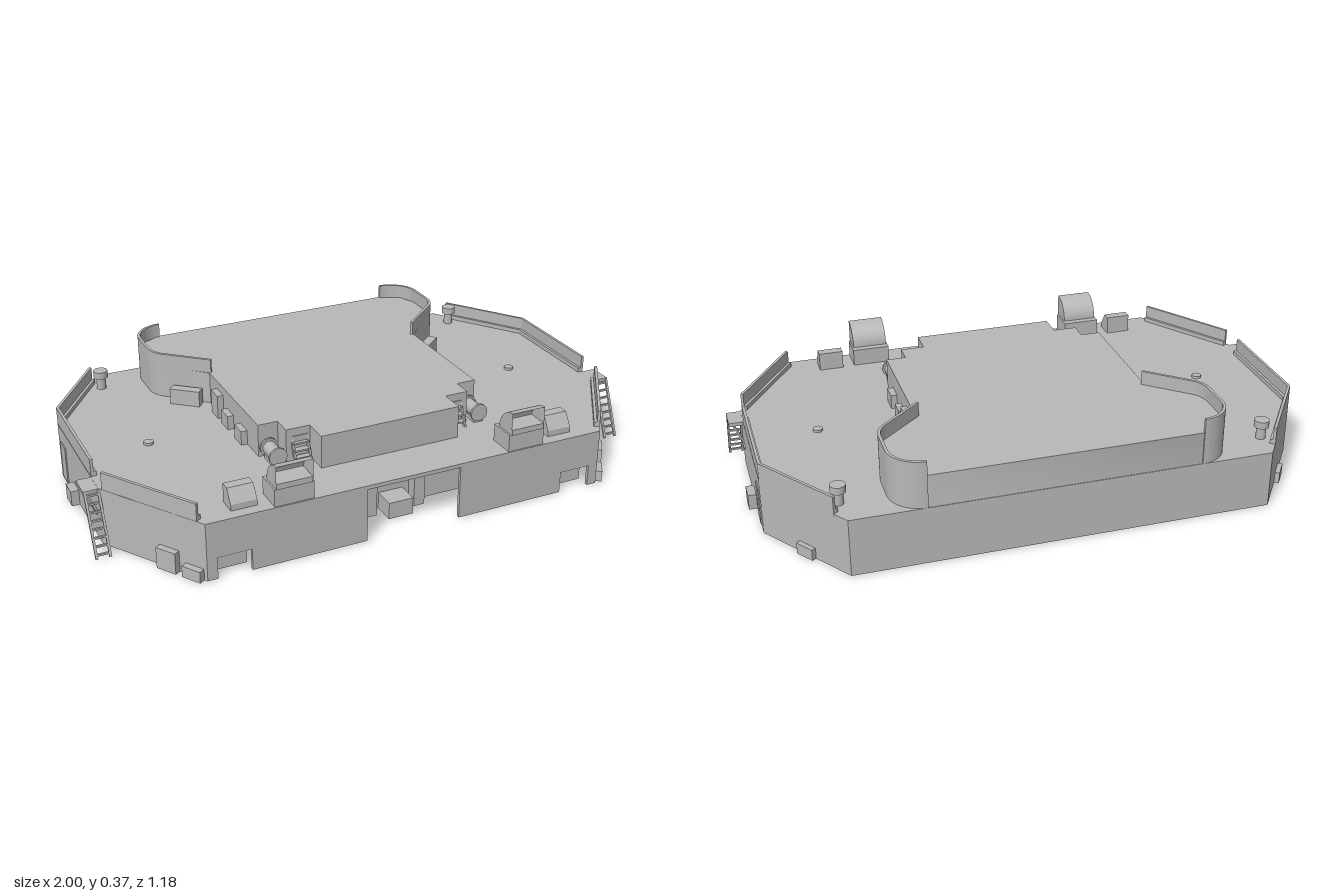
import * as THREE from 'three';
import { toCreasedNormals } from 'three/addons/utils/BufferGeometryUtils.js';

export function createModel() {
  const model = new THREE.Group();
  const grey = new THREE.MeshStandardMaterial({ color: 0xb8b8b8, side: THREE.DoubleSide });
  grey.name = 'plain grey';

  const add = (name, geo, x = 0, y = 0, z = 0) => {
    const m = new THREE.Mesh(geo, grey);
    m.name = name;
    m.position.set(x, y, z);
    model.add(m);
    return m;
  };
  // box given by its limits
  const box = (name, x0, x1, y0, y1, z0, z1) =>
    add(name, new THREE.BoxGeometry(Math.abs(x1 - x0), y1 - y0, z1 - z0), (x0 + x1) / 2, (y0 + y1) / 2, (z0 + z1) / 2);
  // plan outline of [x, z] points raised from y0 to y1
  const slab = (name, pts, y0, y1) => {
    const shape = new THREE.Shape(pts.map(([x, z]) => new THREE.Vector2(x, -z)));
    const geo = new THREE.ExtrudeGeometry(shape, { depth: y1 - y0, bevelEnabled: false });
    geo.rotateX(-Math.PI / 2);
    return add(name, toCreasedNormals(geo, 0.5), 0, y0, 0);
  };
  // upright wall along a plan path, thickened to one side
  const wall = (name, pts, t, y0, y1) => {
    const dir = (a, b) => new THREE.Vector2(b[0] - a[0], b[1] - a[1]).normalize();
    const inner = pts.map((p, i) => {
      const d0 = i ? dir(pts[i - 1], p) : dir(p, pts[1]);
      const d1 = i < pts.length - 1 ? dir(p, pts[i + 1]) : d0;
      const d = d0.clone().add(d1).normalize();
      const k = t / Math.max(0.5, d.dot(d0));
      return [p[0] - d.y * k, p[1] + d.x * k];
    });
    return slab(name, [...pts, ...inner.reverse()], y0, y1);
  };
  // square bar between two points
  const bar = (name, a, b, w, h = w) => {
    const A = new THREE.Vector3(...a), B = new THREE.Vector3(...b);
    const m = add(name, new THREE.BoxGeometry(w, h, A.distanceTo(B)));
    m.position.copy(A).add(B).multiplyScalar(0.5);
    m.lookAt(B);
  };
  const mirrored = (pts, s) => pts.map(([x, z]) => [s * x, z]);
  const bothHalves = (half) => [...half, ...mirrored(half, -1).reverse()];

  // deck and central raised platform
  const hullHalf = [[0.72, 0.59], [0.95, 0.24], [0.95, -0.26], [0.72, -0.59]];
  slab('deck', bothHalves(hullHalf), 0.19, 0.204);
  slab('raisedPlatform', bothHalves([[0.255, 0.42], [0.255, 0.33], [0.34, 0.33], [0.34, 0.26], [0.41, 0.26],
    [0.41, -0.19], [0.53, -0.305], [0.565, -0.35], [0.567, -0.48], [0.538, -0.55], [0.46, -0.588]]), 0.2, 0.32);

  // rear hull wall and beams beneath the deck
  box('rearWall', -0.72, 0.72, 0, 0.2, -0.59, -0.578);
  box('crossBeam', -0.93, 0.93, 0, 0.19, -0.25, -0.21);
  box('crossBeam', -0.93, 0.93, 0.03, 0.19, -0.21, -0.15);
  box('crossBeam', -0.93, 0.93, 0, 0.19, -0.15, -0.1);
  box('underBlock', -0.15, 0.3, 0.08, 0.19, 0.14, 0.26);

  // front bay
  box('bayBackWall', -0.49, 0.49, 0, 0.19, 0.4, 0.42);
  box('bayCabinet', -0.045, 0.045, 0, 0.06, 0.42, 0.5);
  box('bayHanger', 0, 0.04, 0.13, 0.19, 0.42, 0.46);

  for (const s of [1, -1]) {
    // hull sides, with a notch in the front wall
    wall('sideWall', mirrored(hullHalf, s), -s * 0.012, 0, 0.2);
    box('frontWall', s * 0.17, s * 0.57, 0, 0.2, 0.578, 0.59);
    box('frontWall', s * 0.57, s * 0.685, 0.08, 0.2, 0.578, 0.59);
    box('frontWall', s * 0.685, s * 0.72, 0, 0.2, 0.578, 0.59);
    box('notchBack', s * 0.57, s * 0.685, 0, 0.06, 0.53, 0.54);
    bar('notchCeiling', [s * 0.6275, 0.08, 0.59], [s * 0.6275, 0.06, 0.535], 0.115, 0.006);
    box('bayPillar', s * 0.07, s * 0.11, 0, 0.145, 0.42, 0.46);

    // tall curved screen around the rear
    const path = new THREE.Path();
    path.moveTo(0.405, -0.19);
    path.lineTo(0.535, -0.305);
    path.quadraticCurveTo(0.575, -0.335, 0.575, -0.39);
    path.lineTo(0.575, -0.48);
    path.absarc(0.465, -0.48, 0.11, 0, -Math.PI / 2, true);
    const pts = path.getPoints(10).filter((p, i, a) => !i || p.distanceTo(a[i - 1]) > 1e-4).map((p) => [p.x, p.y]);
    wall('curvedScreen', mirrored(pts, s), -s * 0.01, 0.2, 0.37);
    const locker = box('screenLocker', s * 0.435, s * 0.545, 0.2, 0.262, -0.24, -0.205);
    locker.rotation.y = s * 0.7;

    // bulwarks along the deck edge
    const aft = mirrored([[0.949, 0.155], [0.949, -0.262], [0.755, -0.54]], s);
    const fore = mirrored([[0.737, 0.563], [0.942, 0.25]], s);
    for (const run of [aft, fore]) {
      wall('bulwarkFoot', run, -s * 0.02, 0.195, 0.22);
      wall('bulwark', run, -s * 0.01, 0.22, 0.265);
    }

    // boarding landing and sloping ladder
    box('landing', s * 0.94, s * 1, 0.19, 0.203, 0.155, 0.24);
    bar('landingStrut', [s * 0.99, 0.19, 0.2], [s * 0.95, 0.1, 0.2], 0.008);
    bar('landingBrace', [s * 0.953, 0.097, 0.155], [s * 0.953, 0.097, 0.21], 0.006);
    for (const x of [0.95, 0.995]) bar('ladderRail', [s * x, 0, 0.325], [s * x, 0.2, 0.238], 0.008);
    for (let i = 0; i < 8; i++) {
      const t = (i + 0.5) / 8;
      bar('ladderRung', [s * 0.95, 0.2 * t, 0.325 - 0.087 * t], [s * 0.995, 0.2 * t, 0.325 - 0.087 * t], 0.007);
    }

    // boxes and door on the hull sides
    box('sideBox', s * 0.94, s * 0.978, 0, 0.055, -0.1, -0.035);
    box('sideDoor', s * 0.949, s * 0.954, 0.015, 0.15, -0.23, -0.17);
    const cornerBox = (x, z, w, h, turn) => {
      add('cornerBox', new THREE.BoxGeometry(0.035, h, w), s * x, h / 2, z).rotation.y = s * turn;
    };
    cornerBox(0.75, 0.553, 0.07, 0.04, -0.58);
    cornerBox(0.803, 0.472, 0.075, 0.075, -0.58);
    cornerBox(0.829, -0.432, 0.07, 0.04, 0.608);

    // lockers beside the platform
    for (const z of [-0.09, 0.005, 0.13]) box('platformLocker', s * 0.405, s * 0.432, 0.2, z < -0.05 ? 0.29 : 0.255, z - 0.031, z + 0.031);

    // hooded air intake, open to the front
    box('intakeBase', s * 0.355, s * 0.49, 0.2, 0.265, 0.49, 0.585);
    box('intakeLip', s * 0.362, s * 0.484, 0.265, 0.285, 0.515, 0.59);
    const hood = new THREE.CylinderGeometry(0.078, 0.078, 0.125, 12, 1, true, Math.PI / 2, Math.PI / 2);
    hood.rotateZ(Math.PI / 2);
    add('intakeHood', hood, s * 0.4225, 0.267, 0.59);
    const side = new THREE.Shape();
    side.moveTo(0, 0);
    side.lineTo(0, 0.078);
    side.absarc(0, 0, 0.078, Math.PI / 2, Math.PI, false);
    for (const x of [0.36, 0.485]) {
      const cheek = new THREE.ShapeGeometry(side, 10);
      cheek.rotateY(-Math.PI / 2);
      add('intakeCheek', cheek, s * x, 0.267, 0.59);
    }

    // small locker with a sloping front
    const lid = new THREE.Shape([[0.485, 0], [0.55, 0], [0.55, 0.025], [0.52, 0.07], [0.485, 0.07]]
      .map(([z, y]) => new THREE.Vector2(-z, y)));
    const lidGeo = new THREE.ExtrudeGeometry(lid, { depth: 0.088, bevelEnabled: false });
    lidGeo.rotateY(Math.PI / 2);
    add('slopedLocker', lidGeo, s * 0.577 - 0.044, 0.2, 0);

    // cable reel in the platform corner
    const reel = (r, l, z) => {
      const g = new THREE.CylinderGeometry(r, r, l, 16);
      g.rotateX(Math.PI / 2);
      add('cableReel', g, s * 0.378, 0.24, z);
    };
    reel(0.024, 0.08, 0.312);
    reel(0.032, 0.008, 0.274);
    reel(0.032, 0.008, 0.35);
    box('reelStand', s * 0.36, s * 0.396, 0.2, 0.22, 0.275, 0.35);

    // steps up to the platform
    for (const x of [0.264, 0.318]) bar('stepRail', [s * x, 0.2, 0.362], [s * x, 0.315, 0.307], 0.007, 0.012);
    for (let i = 0; i < 5; i++) {
      const y = 0.22 + i * 0.022;
      box('stepTread', s * 0.264, s * 0.318, y, y + 0.006, 0.342 - i * 0.0105, 0.364 - i * 0.0105);
    }

    // mushroom vent and deck cap
    add('ventStem', new THREE.CylinderGeometry(0.017, 0.017, 0.05, 16), s * 0.728, 0.225, -0.48);
    add('ventCap', new THREE.CylinderGeometry(0.026, 0.026, 0.025, 16), s * 0.728, 0.2605, -0.48);
    add('deckCap', new THREE.CylinderGeometry(0.017, 0.017, 0.012, 16), s * 0.71, 0.207, 0.015);
  }
  return model;
}
